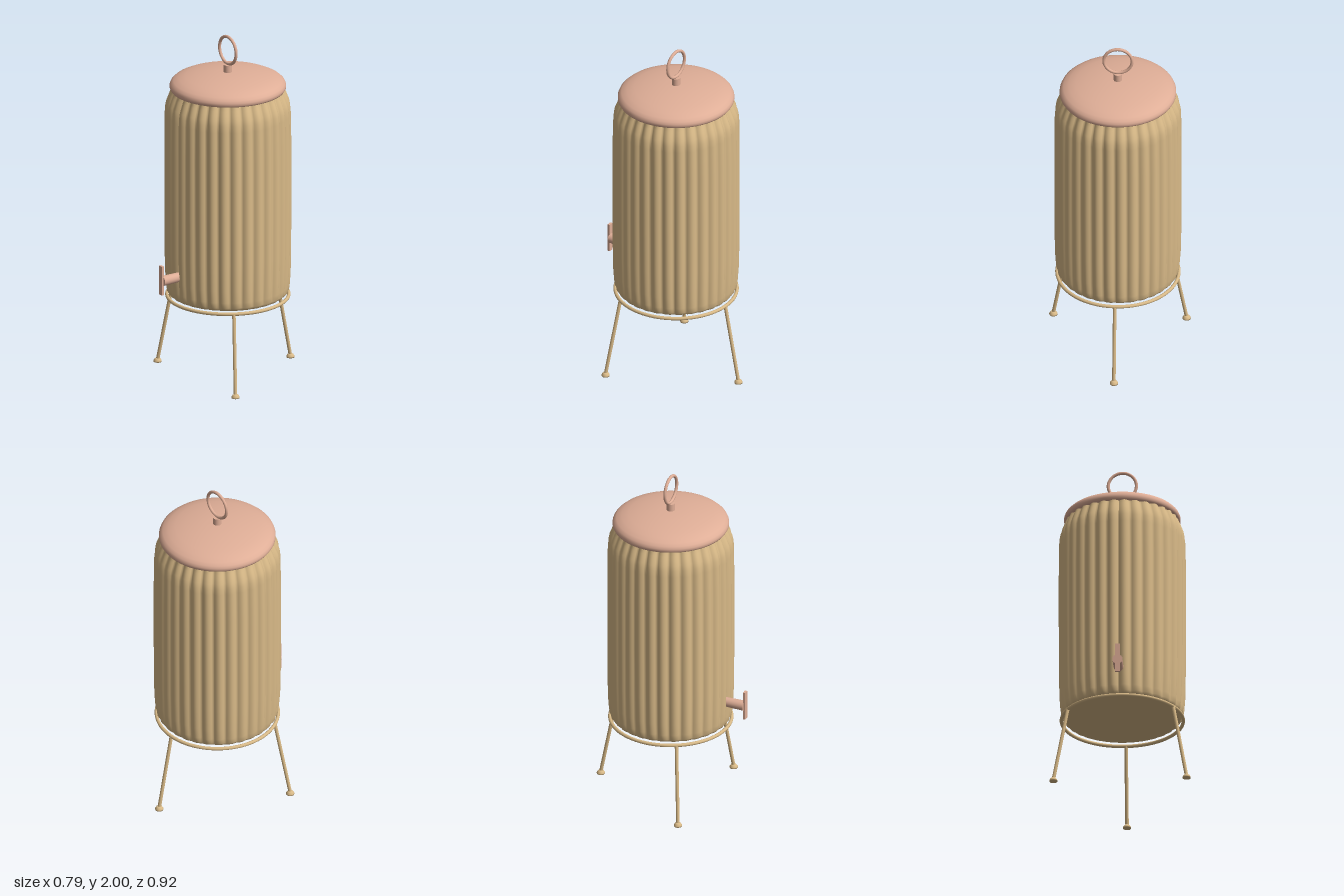
import * as THREE from 'three';

const FLUTES = 32;
const CENTER_Z = -0.008;

export function createModel() {
  const model = new THREE.Group();
  model.name = 'drinkDispenser';
  const dispenser = new THREE.Group();
  dispenser.name = 'dispenser';
  dispenser.position.z = CENTER_Z;
  model.add(dispenser);

  const tan = new THREE.MeshStandardMaterial({ color: 0xd9ba88 });
  tan.name = 'warm tan';
  const rose = new THREE.MeshStandardMaterial({ color: 0xdfae97 });
  rose.name = 'dusty rose';

  const add = (name, geometry, material, x = 0, y = 0, z = 0) => {
    const mesh = new THREE.Mesh(geometry, material);
    mesh.name = name;
    mesh.position.set(x, y, z);
    dispenser.add(mesh);
    return mesh;
  };
  const points = (list) => list.map(([r, y]) => new THREE.Vector2(r, y));

  // Fluted jar: a lathe whose radius is scalloped around the axis
  const jar = new THREE.LatheGeometry(points([
    [0.315, 0.475], [0.33, 0.482], [0.342, 0.498], [0.347, 0.53], [0.352, 0.6],
    [0.355, 0.75], [0.356, 1.05], [0.356, 1.35], [0.354, 1.54], [0.351, 1.58],
    [0.345, 1.61], [0.334, 1.638], [0.326, 1.66], [0.319, 1.675], [0.315, 1.69],
  ]), FLUTES * 8);
  const pos = jar.attributes.position;
  for (let i = 0; i < pos.count; i++) {
    const x = pos.getX(i), y = pos.getY(i), z = pos.getZ(i);
    const bump = Math.abs(Math.sin(Math.atan2(x, z) * FLUTES / 2));
    const fade = Math.min(1, 0.25 + (y - 0.475) * 12);
    const k = 1 - 0.045 * fade * (1 - bump);
    pos.setXYZ(i, x * k, y, z * k);
  }
  jar.computeVertexNormals();
  add('jar', jar, tan);
  add('jarBottom', new THREE.CircleGeometry(0.315, 96).rotateX(Math.PI / 2), tan, 0, 0.475, 0);

  // Domed lid with a rolled rim
  add('lid', new THREE.LatheGeometry(points([
    [0.0, 1.685], [0.31, 1.682], [0.32, 1.685], [0.326, 1.695], [0.326, 1.708],
    [0.32, 1.722], [0.305, 1.736], [0.275, 1.75], [0.235, 1.762], [0.18, 1.772],
    [0.12, 1.78], [0.06, 1.784], [0, 1.785],
  ]), 96), rose);

  // Lid handle
  add('handleStem', new THREE.CylinderGeometry(0.024, 0.024, 0.05, 24), rose, 0, 1.802, 0);
  add('handleRing', new THREE.TorusGeometry(0.079, 0.009, 10, 64), rose, 0, 1.912, 0);

  // Spigot at the front
  add('spigotBarrel', new THREE.CylinderGeometry(0.029, 0.027, 0.12, 24).rotateX(Math.PI / 2),
    rose, 0, 0.635, 0.393);
  add('spigotLever', new THREE.BoxGeometry(0.028, 0.17, 0.014), rose, 0, 0.64, 0.457);

  // Stand: support ring and three splayed legs with feet
  add('standRing', new THREE.TorusGeometry(0.341, 0.01, 10, 96).rotateX(Math.PI / 2),
    tan, 0, 0.465, 0);
  const up = new THREE.Vector3(0, 1, 0);
  for (let i = 0; i < 3; i++) {
    const a = Math.PI + i * Math.PI * 2 / 3;
    const at = (r, y) => new THREE.Vector3(Math.sin(a) * r, y, Math.cos(a) * r);
    const top = at(0.341, 0.465), foot = at(0.431, 0.012);
    const dir = top.clone().sub(foot);
    const mid = top.clone().add(foot).multiplyScalar(0.5);
    const leg = add('leg' + (i + 1), new THREE.CylinderGeometry(0.01, 0.01, dir.length(), 16),
      tan, mid.x, mid.y, mid.z);
    leg.quaternion.setFromUnitVectors(up, dir.normalize());
    add('foot' + (i + 1), new THREE.LatheGeometry(points([
      [0, 0], [0.023, 0], [0.023, 0.007], [0.017, 0.017], [0.011, 0.022], [0, 0.022],
    ]), 20), tan, foot.x, 0, foot.z);
  }

  return model;
}
